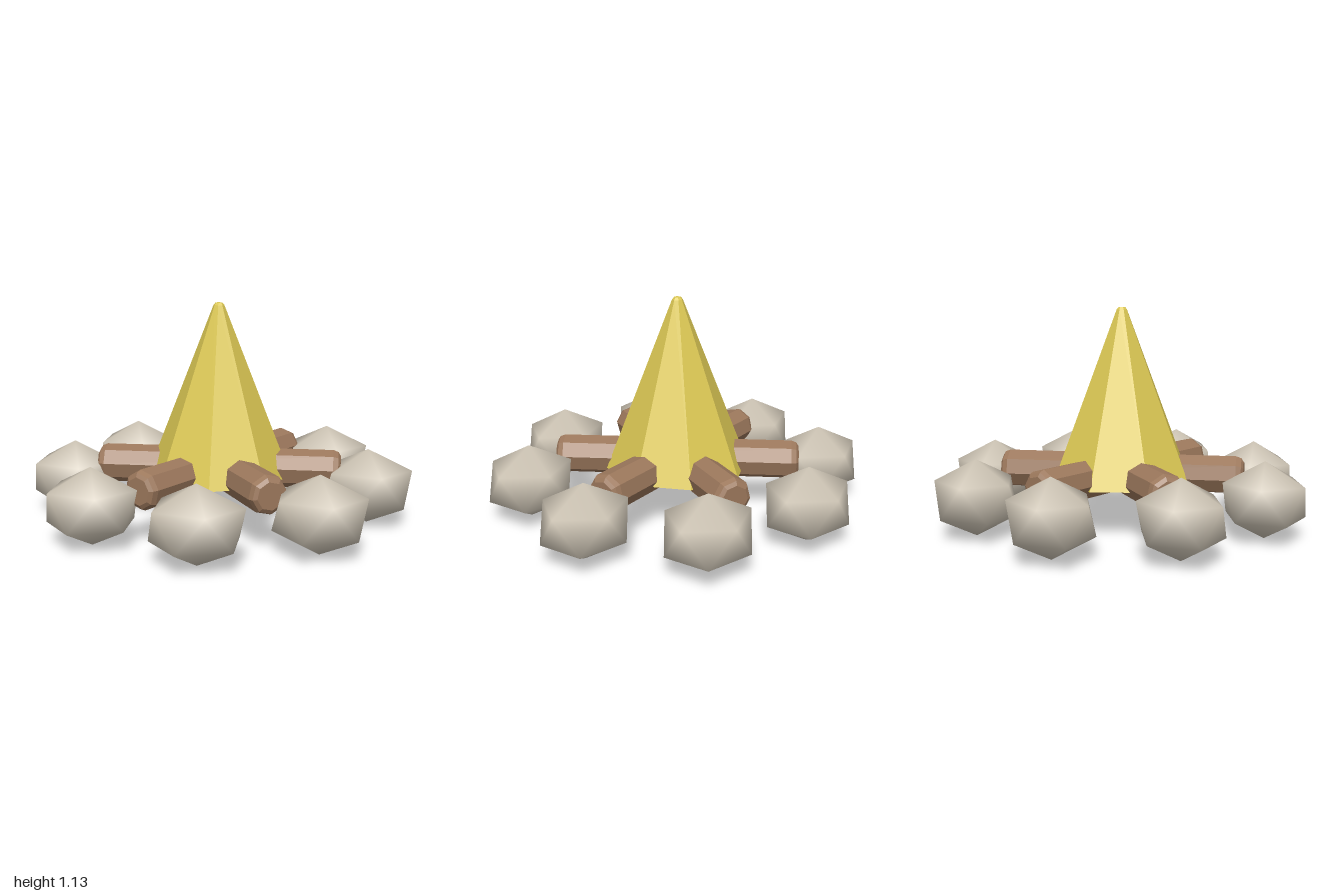
import * as THREE from 'three';

const stoneMat = new THREE.MeshStandardMaterial({ color: 0xcfc6b6 });
stoneMat.name = 'stone grey';
const woodMat = new THREE.MeshStandardMaterial({ color: 0x9c785c, flatShading: true });
woodMat.name = 'wood brown';
const flameMat = new THREE.MeshStandardMaterial({ color: 0xdcc854, flatShading: true });
flameMat.name = 'flame yellow';

// Eight-sided turned solid from [radius, height] pairs, bottom to top
function turned(points) {
  return new THREE.LatheGeometry(points.map(([r, y]) => new THREE.Vector2(r, y)), 8);
}

// Smooth twenty-faced pebble standing on one point: two staggered rings of five and two poles
function stoneGeometry(rx, ry, rz) {
  const pos = [0, ry, 0];
  const index = [];
  for (let ring = 0; ring < 2; ring++) {
    for (let i = 0; i < 5; i++) {
      const a = (i + ring / 2) * Math.PI * 2 / 5;
      pos.push(rx * Math.cos(a), ry * (ring ? -0.447 : 0.447), rz * Math.sin(a));
    }
  }
  pos.push(0, -ry, 0);
  for (let i = 0; i < 5; i++) {
    const j = (i + 1) % 5;
    const u = 1 + i, v = 1 + j, l = 6 + i, m = 6 + j;
    index.push(0, v, u, u, v, l, l, v, m, 11, l, m);
  }
  const geo = new THREE.BufferGeometry();
  geo.setAttribute('position', new THREE.Float32BufferAttribute(pos, 3));
  geo.setIndex(index);
  geo.computeVertexNormals();
  return geo;
}

export function createModel() {
  const model = new THREE.Group();
  model.name = 'campfire';

  // Ring of eight stones, all facing the same way
  const stones = new THREE.Group();
  stones.name = 'stoneRing';
  const stoneGeo = stoneGeometry(0.226, 0.194, 0.205);
  for (let i = 0; i < 8; i++) {
    const a = i * Math.PI / 4;
    const stone = new THREE.Mesh(stoneGeo, stoneMat);
    stone.name = 'stone';
    stone.position.set(0.773 * Math.cos(a), 0.194, 0.773 * Math.sin(a));
    stones.add(stone);
  }
  model.add(stones);

  // Three crossed logs with bevelled ends
  const logs = new THREE.Group();
  logs.name = 'logs';
  const end = [[0, 0.635], [0.07, 0.635], [0.09, 0.623], [0.1, 0.597]];
  const logGeo = turned([...end.map(([r, y]) => [r, -y]), ...end.reverse()]);
  logGeo.rotateY(-8 * Math.PI / 180);
  logGeo.rotateZ(-Math.PI / 2);
  for (let i = 0; i < 3; i++) {
    const log = new THREE.Mesh(logGeo, woodMat);
    log.name = 'log';
    log.position.y = 0.275;
    log.rotation.y = i * Math.PI / 3;
    logs.add(log);
  }
  model.add(logs);

  // Flame: closed cone with a tiny blunt tip
  const flame = new THREE.Mesh(
    turned([[0, 0.235], [0.375, 0.235], [0.028, 1.118], [0.018, 1.13], [0, 1.13]]), flameMat);
  flame.name = 'flame';
  model.add(flame);

  return model;
}
